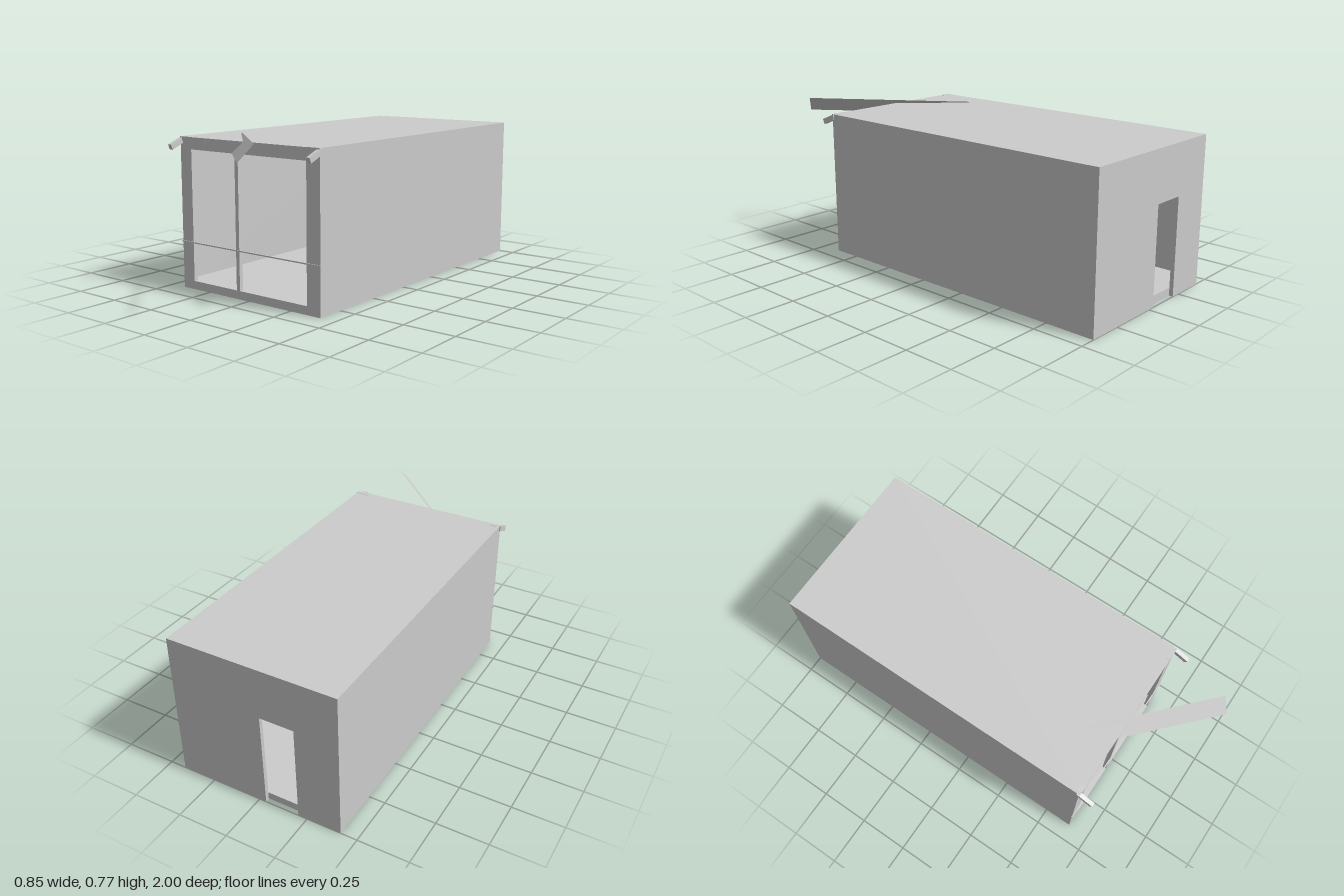
import * as THREE from 'three';

const material = new THREE.MeshStandardMaterial({ color: 0xcccccc, flatShading: true });
const sheetMaterial = new THREE.MeshStandardMaterial({ color: 0xcccccc, flatShading: true, side: THREE.DoubleSide });

const W = 0.42, H = 0.73, BACK = -1, FRONT = 0.64, T = 0.02;

export function createModel() {
  const model = new THREE.Group();

  const add = (name, geometry, mat = material) => {
    const mesh = new THREE.Mesh(geometry, mat);
    mesh.name = name;
    model.add(mesh);
    return mesh;
  };
  // Box given by its minimum and maximum on each axis
  const box = (name, x0, x1, y0, y1, z0, z1) =>
    add(name, new THREE.BoxGeometry(x1 - x0, y1 - y0, z1 - z0))
      .position.set((x0 + x1) / 2, (y0 + y1) / 2, (z0 + z1) / 2);
  const outline = (points) => new THREE.Shape(points.map(([x, y]) => new THREE.Vector2(x, y)));
  const extrude = (shape, depth) => new THREE.ExtrudeGeometry(shape, { depth, bevelEnabled: false });

  // Shell
  box('floor', -W + T, W - T, 0.004, 0.04, BACK + T, FRONT - T);
  box('roof', -W, W, H - T, H, BACK, FRONT + 0.004);
  for (const [name, s] of [['leftWall', 1], ['rightWall', -1]]) {
    const x = s * (W - T / 2);
    box(name, x - T / 2, x + T / 2, 0, H - T, BACK, FRONT - T);
  }

  // Back wall with a doorway reaching the ground
  const back = outline([
    [-W + T, 0], [-0.205, 0], [-0.205, 0.48], [-0.035, 0.48], [-0.035, 0],
    [W - T, 0], [W - T, H - T], [-W + T, H - T],
  ]);
  add('backWall', extrude(back, T)).position.z = BACK;

  // Front frame around the large opening, with its upright
  const frame = outline([[-W, 0], [W, 0], [W, H - 0.001], [-W, H - 0.001]]);
  frame.holes.push(outline([[-0.35, 0.04], [-0.35, 0.672], [0.345, 0.672], [0.345, 0.04]]));
  add('frontFrame', extrude(frame, T)).position.z = FRONT - T;
  box('frontPost', -0.072, -0.052, 0.04, 0.672, FRONT - T, FRONT);
  box('crossRail', -0.423, 0.423, 0.225, 0.231, FRONT - 0.002, FRONT + 0.004);

  // Sloping roof arms and their fixing plates at the front corners
  const arm = outline([[0.63, 0.73], [0.63, 0.703], [0.704, 0.672], [0.715, 0.697]]);
  for (const s of [-1, 1]) {
    const geometry = extrude(arm, T);
    geometry.rotateY(-Math.PI / 2); // profile x becomes z, depth becomes -x
    add('roofArm', geometry).position.x = s * 0.415 + T / 2;
    const inner = s < 0 ? 0.368 : 0.35;
    const [x0, x1] = [s * inner, s * 0.405].sort((a, b) => a - b);
    box('armPlate', x0, x1, 0.717, 0.731, FRONT - T, FRONT + 0.005);
  }

  // Loose tilted sheet running diagonally through the front edge of the roof
  const sheet = new THREE.BufferGeometry();
  sheet.setAttribute('position', new THREE.Float32BufferAttribute([
    -0.29, 0.735, 0.358, 0.33, 0.767, 0.945,
    0.286, 0.692, 0.995, -0.333, 0.66, 0.408,
  ], 3));
  sheet.setIndex([0, 2, 1, 0, 3, 2]);
  sheet.computeVertexNormals();
  add('tiltedSheet', sheet, sheetMaterial);

  return model;
}
